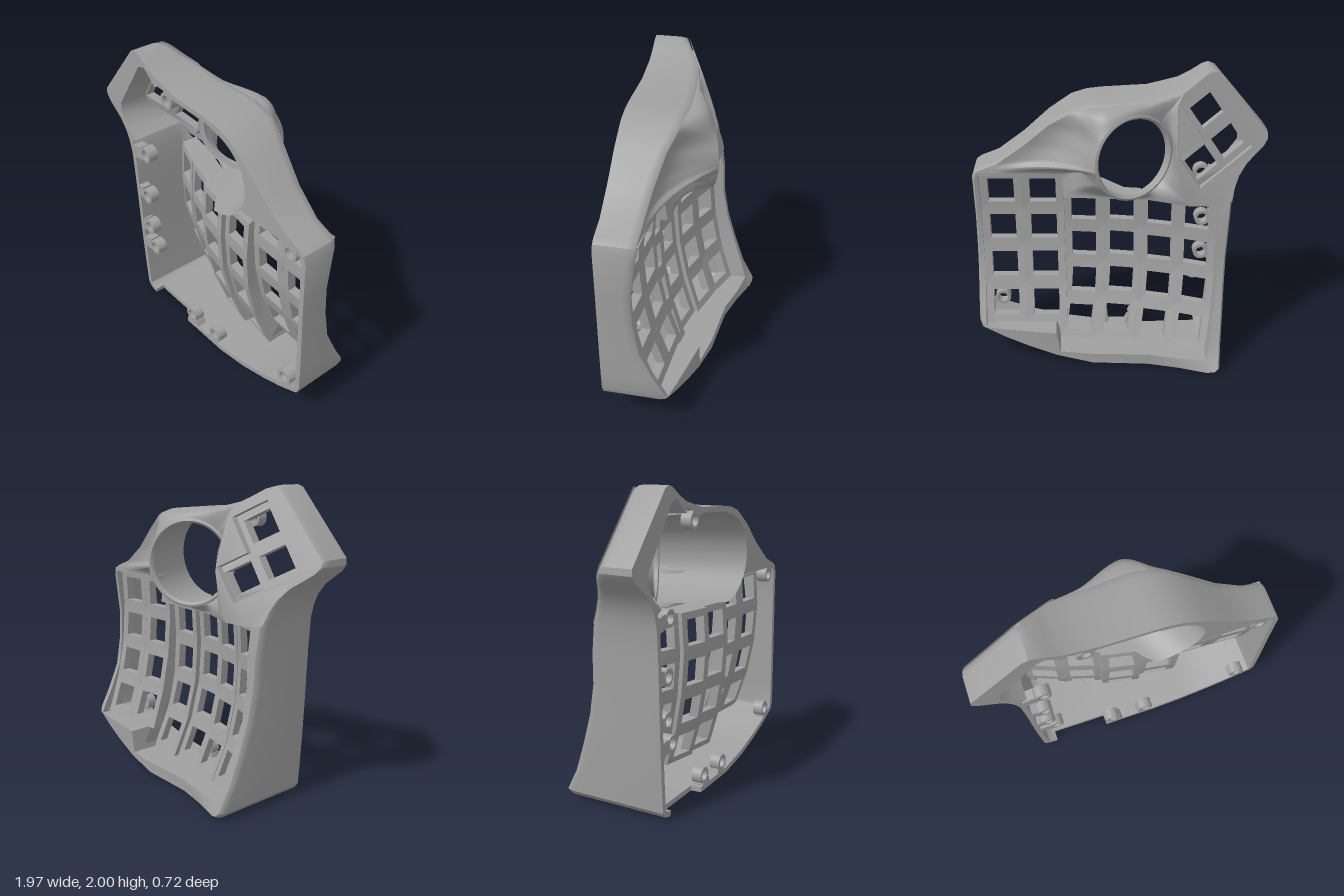
import * as THREE from 'three';
import { toCreasedNormals } from 'three/addons/utils/BufferGeometryUtils.js';

const grey = new THREE.MeshStandardMaterial({ color: 0xa0a0a0, side: THREE.DoubleSide });
grey.name = 'shellGrey';
const RIM = 0.36;
const { clamp, smoothstep, lerp } = THREE.MathUtils;

// Surface through rows of [x, y, z] points
function loft(rows, closed = false, crease = 0.6) {
  const n = rows[0].length, index = [];
  for (let r = 0; r < rows.length - 1; r++)
    for (let i = 0; i < (closed ? n : n - 1); i++) {
      const a = r * n + i, b = r * n + (i + 1) % n;
      index.push(a, b, a + n, b, b + n, a + n);
    }
  const g = new THREE.BufferGeometry();
  g.setAttribute('position', new THREE.Float32BufferAttribute(rows.flat(2), 3));
  g.setIndex(index);
  return toCreasedNormals(g, crease);
}

const toShape = pts => new THREE.Shape(pts.map(p => new THREE.Vector2(p[0], p[1])));

// Move every vertex by a rule (x, y, z) => [x, y, z]
function warp(geo, rule) {
  const p = geo.attributes.position;
  for (let i = 0; i < p.count; i++) p.setXYZ(i, ...rule(p.getX(i), p.getY(i), p.getZ(i)));
  geo.computeVertexNormals();
  return geo;
}

// Plate with a square switch opening
function tile(x0, x1, y0, y1, cx, cy, w, h) {
  const s = toShape([[x0, y0], [x1, y0], [x1, y1], [x0, y1]]);
  s.holes.push(toShape([[cx - w, cy - h], [cx + w, cy - h], [cx + w, cy + h], [cx - w, cy + h]]));
  return new THREE.ExtrudeGeometry(s, { depth: 0.06, bevelEnabled: false });
}

// Finger columns: edges, depth, sideways slope, lowest row and half width of the openings
const columns = [
  { x0: -0.64, x1: -0.4, z: 0.01, slope: 0.4, y: 0.23, w: 0.078 },
  { x0: -0.4, x1: -0.155, z: 0.09, slope: 0.3, y: 0.23, w: 0.08 },
  { x0: -0.155, x1: 0.105, z: 0.18, slope: 0.2, y: 0.23, w: 0.083 },
  { x0: 0.105, x1: 0.37, z: 0.19, slope: 0.15, y: 0.23, w: 0.083 },
  { x0: 0.37, x1: 0.65, z: 0.16, slope: 0.05, y: 0.385, w: 0.088 },
  { x0: 0.65, x1: 0.93, z: 0.173, slope: 0.05, y: 0.385, w: 0.088 },
];
const bend = y => 0.15 * Math.max(0, 0.5 - y);
const columnZ = (k, x, y) => k.z + k.slope * (x - (k.x0 + k.x1) / 2) - 0.25 * (y - k.y - 0.67) ** 2;
function plateAt(x, y) {
  const shift = y < 0.245 ? bend(y) : 0;
  return columnZ(columns.find(k => x < k.x1 + shift) || columns[5], x, y);
}

// Sloping thumb deck
const thumbZ = (x, y) => Math.max(-0.11, 0.14 - 0.5 * ((x + 0.99) * 0.75 - (y - 1.57) * 0.66));
const thumbPoint = (a, b) => [-0.71 + 0.57 * a + 0.87 * b, 1.54 + 0.82 * a - 0.5 * b];

// Outline, clockwise: x, y, top height
const crown = [
  [-0.6, 2, 0.15], [-0.56, 1.99, 0.13], [-0.48, 1.94, 0.08], [-0.4, 1.9, 0.03],
  [-0.2, 1.853, 0], [0.1, 1.84, -0.02], [0.2, 1.83, -0.01], [0.3, 1.8, 0],
  [0.45, 1.7, 0.05], [0.62, 1.55, 0.09], [0.8, 1.42, 0.11], [0.92, 1.375, 0.11],
];
const rightSide = [
  [0.955, 1.35, 0.11], [0.972, 1.3, 0.115], [0.974, 1, 0.155], [0.977, 0.8, 0.15],
  [0.98, 0.6, 0.12], [0.982, 0.42, 0.04], [0.98, 0.29, -0.03], [0.96, 0.24, -0.05],
];
const bottomSide = [
  [0.8, 0.165, -0.08], [0.65, 0.11, -0.11], [0.445, 0.048, -0.15], [0.44, 0.047, -0.15], [0.2, 0.005, -0.19],
  [-0.18, 0, -0.22], [-0.185, 0, -0.22], [-0.4, 0, -0.28], [-0.575, 0, -0.345], [-0.58, 0, -0.347], [-0.64, 0.015, -0.36],
];
const leftSide = [
  [-0.67, 0.05, -0.36], [-0.682, 0.2, -0.28], [-0.695, 0.4, -0.21], [-0.705, 0.6, -0.15],
  [-0.713, 0.8, -0.115], [-0.722, 1, -0.11], [-0.735, 1.19, -0.085],
];
const sides = [...rightSide, ...bottomSide, ...leftSide];
const thumbSide = [[-0.755, 1.27], [-0.785, 1.34], [-0.84, 1.41], [-0.96, 1.5], [-0.99, 1.54], [-0.988, 1.58], [-0.64, 1.985]]
  .map(([x, y]) => [x, y, thumbZ(x, y)]);

// Edge of the finger well next to a point of the outline
function lipPoint([x, y, z]) {
  if (x > 0.442) return [Math.min(x, 0.93), clamp(y, 0.245, 1.335), z];
  const ly = clamp(y, 0.095, 1.18);
  return [clamp(x, -0.64 + bend(ly), 0.42), ly, Math.max(z, -0.31)];
}

// Trackball opening: a tilted ring whose cup runs back towards the rim plane
const ballC = [-0.09, 1.5, -0.08];
function ballPoint(angle, r, along = 0) {
  const u = Math.cos(angle) * r, v = Math.sin(angle) * r;
  return [ballC[0] + 0.89 * u + 0.45 * along, ballC[1] + v, ballC[2] - 0.45 * u + 0.89 * along];
}
const cupEnd = angle => ballPoint(angle, 0.29, (RIM - ballC[2] + 0.45 * 0.29 * Math.cos(angle)) / 0.89);

export function createModel() {
  const model = new THREE.Group();
  const add = (name, geo) => {
    const m = new THREE.Mesh(geo, grey);
    m.name = name;
    model.add(m);
    return m;
  };

  // Outer wall, flat rim with a cable notch, and inner wall
  const outline = [...crown, ...sides, ...thumbSide];
  const N = outline.length;
  const inset = (i, d) => {
    const a = outline[(i + N - 1) % N], b = outline[(i + 1) % N];
    const dx = b[0] - a[0], dy = b[1] - a[1], l = Math.hypot(dx, dy);
    return [outline[i][0] + dy / l * d, outline[i][1] - dx / l * d];
  };
  const rimZ = ([x, y]) => (y < 0.001 && x < -0.183 && x > -0.578 ? 0.29 : RIM);
  add('outerWall', loft([
    outline.map((p, i) => [...inset(i, 0.04), p[2] + 0.06]),
    outline.map((p, i) => [...inset(i, 0.035), rimZ(p)]),
    outline.map(p => [p[0], p[1], rimZ(p)]),
    outline.map(p => [p[0], p[1], p[2] + 0.05]),
    outline.map((p, i) => [...inset(i, 0.006), p[2] + 0.015]),
    outline.map((p, i) => [...inset(i, 0.018), p[2]]),
  ], true));

  // Lip and side walls of the finger well
  const lip = sides.map(lipPoint);
  const dropToPlate = pts => pts.map(([x, y]) => [x, y, plateAt(x, y) + 0.04]);
  add('wellLip', loft([
    sides.map((p, i) => [...inset(crown.length + i, 0.018), p[2]]), lip, dropToPlate(lip),
  ]));
  const wellTop = [[-0.64, 1.172, -0.11], [-0.45, 1.172, -0.08], [-0.2, 1.172, 0], [0, 1.172, 0.03],
    [0.365, 1.172, 0.07], [0.375, 1.325, 0.09], [0.65, 1.325, 0.1], [0.93, 1.325, 0.11]];
  add('wellTopWall', loft([wellTop, dropToPlate(wellTop)]));

  // Curved columns of switch plates
  columns.forEach((k, c) => {
    for (let r = 0; r < 4; r++) {
      const y = k.y + r * 0.27;
      const g = tile(k.x0, k.x1, y - 0.135, y + 0.135, (k.x0 + k.x1) / 2, y, k.w, 0.087);
      add('switchPlate', warp(g, (x, py, z) => [x + (c < 4 ? bend(py) : 0), py, z + columnZ(k, x, py)]));
    }
  });

  // Step between the finger columns and the two outer columns
  const stepY = Array.from({ length: 10 }, (_, i) => 0.095 + i * 0.12);
  add('columnStep', loft([[3, 0.05, -0.004], [4, 0.01, 0.004]].map(([c, dz, dx]) =>
    stepY.map(y => [0.37 + bend(y) + dx, y, columnZ(columns[c], 0.37, y) + dz]))));

  // Thumb deck with an L-shaped recess
  const inner = [[-0.4, 1.885], [-0.365, 1.82], [-0.356, 1.6], [-0.356, 1.48], [-0.4, 1.3], [-0.45, 1.172]];
  const deck = toShape([[-0.6, 1.99], [-0.56, 1.98], [-0.48, 1.93], ...inner, [-0.64, 1.172], [-0.73, 1.19],
    ...thumbSide.map(p => [p[0] + 0.007, p[1]])]);
  const ell = [[-0.11, -0.11], [0.39, -0.11], [0.39, 0.11], [0.14, 0.11], [0.14, 0.3], [-0.11, 0.3]]
    .map(p => thumbPoint(...p));
  deck.holes.push(toShape(ell));
  add('thumbDeck', warp(new THREE.ShapeGeometry(deck), (x, y) => [x, y, thumbZ(x, y)]));
  add('thumbRecessWall', loft([0, 0.09].map(d => ell.map(([x, y]) => [x, y, thumbZ(x, y) + d])), true, 0.2));
  for (const [a, b, b0, b1] of [[0.015, 0, -0.11, 0.11], [0.265, 0, -0.11, 0.11], [0.015, 0.21, 0.11, 0.31]])
    add('thumbSwitchPlate', warp(tile(a - 0.125, a + 0.125, b0, b1, a, b, 0.08, 0.08), (pa, pb, z) => {
      const [x, y] = thumbPoint(pa, pb);
      return [x, y, thumbZ(x, y) + 0.04 + z];
    }));

  // Broad rim around the thumb keys and the wall inside it
  const thumbInner = [[-0.68, 1.31], [-0.76, 1.37], [-0.825, 1.46], [-0.82, 1.54], [-0.57, 1.9], [-0.51, 1.92], [-0.4, 1.83]];
  const thumbRim = toShape([...thumbSide, ...crown.slice(0, 4), ...[...thumbInner].reverse()]);
  add('thumbRim', new THREE.ShapeGeometry(thumbRim)).position.z = RIM;
  add('thumbInnerWall', loft([
    thumbInner.map(([x, y]) => [x, y, RIM]), thumbInner.map(([x, y]) => [x, y, thumbZ(x, y) + 0.05]),
  ], false, 0.9));

  // Flared housing from the ball ring down to its surroundings
  const corners = [
    ...crown.slice(3).reverse().map(p => [p[0], p[1] - 0.017, p[2]]),
    ...inner.map(([x, y]) => [x, y, thumbZ(x, y)]),
    ...wellTop.slice(2), [0.945, 1.345, 0.11],
  ];
  const loop = corners.flatMap((p, i) => {
    const q = corners[(i + 1) % corners.length];
    return [0, 0.2, 0.4, 0.6, 0.8].map(t => p.map((v, j) => v + (q[j] - v) * t));
  });
  const flare = [];
  for (let r = 0; r <= 8; r++) {
    const t = r / 8, fast = 1 - (1 - t) ** 2.4;
    flare.push(loop.map(p => {
      const angle = Math.atan2(p[1] - ballC[1], (p[0] - ballC[0]) * 1.1);
      const q = ballPoint(angle, 0.285);
      // Rounded over the top, hollow towards the sides
      const up = smoothstep(Math.sin(angle), 0.3, 0.9);
      const side = lerp(t, fast, up), drop = lerp(fast, t ** 1.5, up);
      return [lerp(q[0], p[0], side), lerp(q[1], p[1], side), lerp(q[2], p[2], drop)];
    }));
  }
  add('ballHousing', loft(flare, true, 0.9));

  // Ball ring and the oblique cup, open on the thumb side
  const angles = Array.from({ length: 64 }, (_, i) => i / 64 * Math.PI * 2);
  const ring = (r, along) => angles.map(a => ballPoint(a, r, along));
  add('ballCup', loft([
    ring(0.285, 0), ring(0.27, -0.006), ring(0.255, 0.01), ring(0.255, 0.04), ring(0.285, 0.045),
    angles.map(a => {
      const start = ballPoint(a, 0.29, 0.05), end = cupEnd(a), t = smoothstep(Math.cos(a), -0.35, 0.1);
      return start.map((v, j) => lerp(v, end[j], t));
    }),
  ], true));

  // Broad rim between the cup and the outer wall
  const cupArc = Array.from({ length: 24 }, (_, i) => cupEnd(-0.52 + i * 0.087));
  const ballRim = toShape([...crown.slice(5), [0.94, 1.35], ...cupArc]);
  add('ballRim', new THREE.ShapeGeometry(ballRim)).position.z = RIM;
  add('ballRimWall', loft([RIM, 0.1].map(z => [[0.41, 1.352, z], [0.94, 1.35, z]])));

  // Screw bosses along the rim, each with a web to the nearest wall
  const wallPoints = outline.flatMap((p, i) => [0, 0.25, 0.5, 0.75].map(t =>
    new THREE.Vector2(p[0], p[1]).lerp(new THREE.Vector2(...outline[(i + 1) % N]), t)));
  const ringShape = new THREE.Shape().absarc(0, 0, 0.055, 0, Math.PI * 2);
  ringShape.holes.push(new THREE.Path().absarc(0, 0, 0.035, 0, Math.PI * 2, true));
  const bossGeo = new THREE.ExtrudeGeometry(ringShape, { depth: 0.07, bevelEnabled: false, curveSegments: 20 });
  for (const [x, y] of [[-0.29, 1.78], [-0.58, 1.24], [-0.6, 0.89], [-0.6, 0.62], [-0.55, 0.46],
    [-0.13, 0.1], [0.13, 0.1], [0.84, 1.3], [0.84, 0.28]]) {
    add('screwBoss', bossGeo).position.set(x, y, RIM - 0.07);
    const centre = new THREE.Vector2(x, y);
    const near = wallPoints.reduce((p, q) => (q.distanceTo(centre) < p.distanceTo(centre) ? q : p));
    const dir = near.clone().sub(centre), gap = dir.length() - 0.06;
    if (gap < 0.01) continue;
    const web = add('bossWeb', new THREE.BoxGeometry(gap, 0.09, 0.068));
    dir.normalize();
    web.position.set(x + dir.x * (0.045 + gap / 2), y + dir.y * (0.045 + gap / 2), RIM - 0.035);
    web.rotation.z = dir.angle();
  }
  return model;
}
